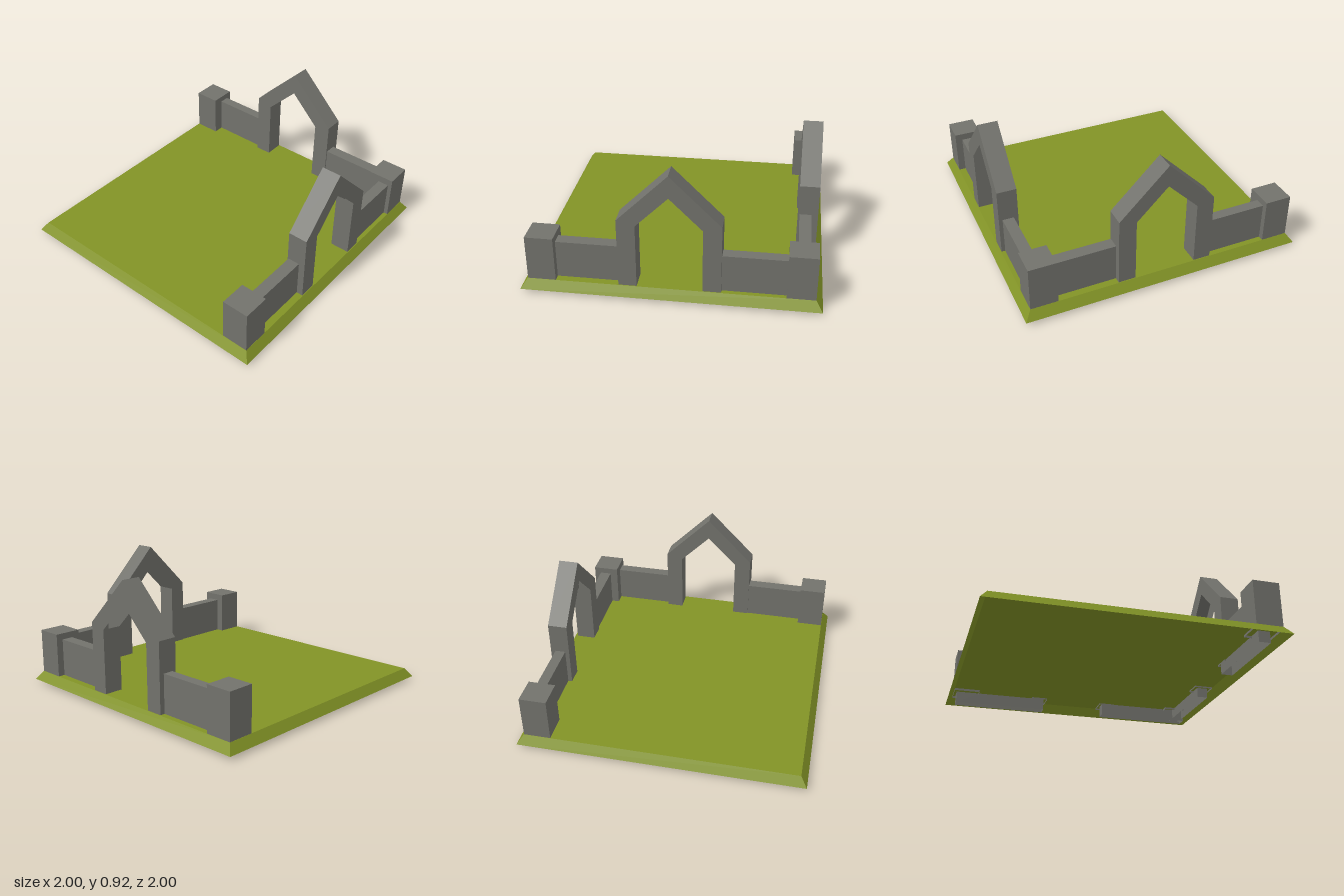
import * as THREE from 'three';

// Hollow shell: drops every face that looks downward and shades the rest flat
function openBelow(geometry) {
  const source = geometry.index ? geometry.toNonIndexed() : geometry;
  const position = source.attributes.position;
  const triangle = new THREE.Triangle();
  const normal = new THREE.Vector3();
  const points = [];
  for (let i = 0; i < position.count; i += 3) {
    triangle.setFromAttributeAndIndices(position, i, i + 1, i + 2);
    if (triangle.getNormal(normal).y > -0.1) points.push(triangle.a.clone(), triangle.b.clone(), triangle.c.clone());
  }
  const shell = new THREE.BufferGeometry().setFromPoints(points);
  shell.computeVertexNormals();
  return shell;
}

export function createModel() {
  const model = new THREE.Group();
  model.name = 'ruinedCourtyard';
  const grass = new THREE.MeshStandardMaterial({ color: 0x829326, side: THREE.DoubleSide });
  grass.name = 'grass green';
  const stone = new THREE.MeshStandardMaterial({ color: 0x72726c, side: THREE.DoubleSide });
  stone.name = 'stone grey';

  const add = (name, geometry, material) => {
    const mesh = new THREE.Mesh(geometry, material);
    mesh.name = name;
    model.add(mesh);
    return mesh;
  };
  // Open-bottomed box given by its lower and upper corners
  const block = (name, [x0, y0, z0], [x1, y1, z1]) => {
    const box = openBelow(new THREE.BoxGeometry(x1 - x0, y1 - y0, z1 - z0));
    add(name, box, stone).position.set((x0 + x1) / 2, (y0 + y1) / 2, (z0 + z1) / 2);
  };

  // Square lawn with bevelled rim, hollow underneath
  const lawn = new THREE.CylinderGeometry(0.955 * Math.SQRT2, Math.SQRT2, 0.063, 4, 1)
    .rotateY(Math.PI / 4).translate(0, 0.0545, 0);
  add('lawn', openBelow(lawn), grass);

  // Corner posts
  for (const [name, x, z] of [
    ['backRightPost', -0.859, -0.859],
    ['backLeftPost', 0.859, -0.859],
    ['frontLeftPost', 0.859, 0.859],
  ]) block(name, [x - 0.095, 0.07, z - 0.095], [x + 0.095, 0.402, z + 0.095]);

  // Low walls, footings reaching through the lawn
  block('backRightWall', [-0.933, 0, -0.915], [-0.243, 0.357, -0.842]);
  block('backLeftWall', [0.241, 0, -0.905], [0.937, 0.357, -0.821]);
  block('leftBackWall', [0.845, 0.014, -0.94], [0.924, 0.351, -0.26]);
  block('leftFrontWall', [0.82, 0.006, 0.252], [0.904, 0.353, 0.86]);

  // Pointed arches with hollow gables, one on each walled side
  const outline = new THREE.Shape([
    [-0.34, 0.075], [-0.218, 0.075], [-0.218, 0.543], [0, 0.761], [0.218, 0.543], [0.218, 0.075],
    [0.34, 0.075], [0.34, 0.577], [0, 0.917], [-0.34, 0.577],
  ].map(([x, y]) => new THREE.Vector2(x, y)));
  const arch = openBelow(new THREE.ExtrudeGeometry(outline, { depth: 0.138, bevelEnabled: false })
    .translate(0, 0, -0.069));
  add('backArch', arch, stone).position.z = -0.881;
  const sideArch = add('leftArch', arch, stone);
  sideArch.position.x = 0.881;
  sideArch.rotation.y = Math.PI / 2;

  return model;
}
